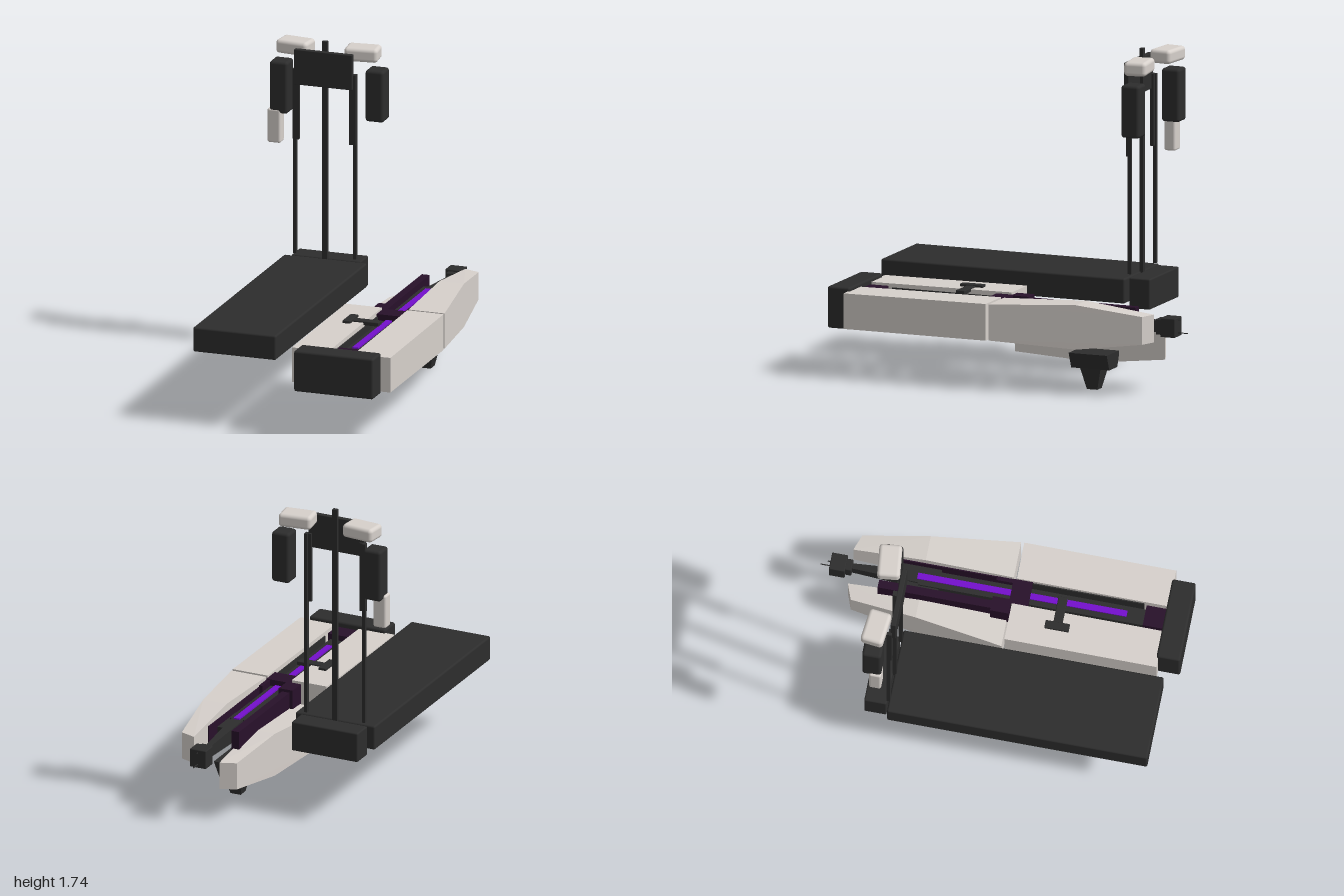
import * as THREE from 'three';
import { RoundedBoxGeometry } from 'three/addons/geometries/RoundedBoxGeometry.js';
import { ConvexGeometry } from 'three/addons/geometries/ConvexGeometry.js';

function material(name, color) {
  const m = new THREE.MeshStandardMaterial({ color });
  m.name = name;
  return m;
}

export function createModel() {
  const root = new THREE.Group();
  const black = material('charcoal', 0x2d2d2d);
  const white = material('warmWhite', 0xd6d0cb);
  const plum = material('darkPlum', 0x28112a);
  const violet = material('violet', 0x7410cc);

  function add(name, geometry, mat) {
    const mesh = new THREE.Mesh(geometry, mat);
    mesh.name = name;
    root.add(mesh);
    return mesh;
  }
  // Box given by its limits on each axis; r rounds the edges
  function box(name, mat, [x0, x1], [y0, y1], [z0, z1], r = 0) {
    const s = [x1 - x0, y1 - y0, z1 - z0];
    const g = r ? new RoundedBoxGeometry(...s, 3, r) : new THREE.BoxGeometry(...s);
    const mesh = add(name, g, mat);
    mesh.position.set((x0 + x1) / 2, (y0 + y1) / 2, (z0 + z1) / 2);
    return mesh;
  }
  // Convex solid from rectangular sections: each is [[xa, ya, za], ...corners]
  function hull(name, mat, points) {
    return add(name, new ConvexGeometry(points.map((p) => new THREE.Vector3(...p))), mat);
  }

  // Bench and the base of the rack behind it
  box('bench', black, [-0.5, -0.032], [0.395, 0.53], [-0.468, 0.937], 0.01);
  box('rackBase', black, [-0.462, -0.072], [0.365, 0.53], [-0.598, -0.478], 0.008);

  // Rack posts, sleeves and panel
  const rackX = -0.269;
  box('centrePost', black, [rackX - 0.014, rackX + 0.014], [0.5, 1.735], [-0.48, -0.458]);
  for (const s of [-1, 1]) {
    const span = (a, b) => (s > 0 ? [rackX + a, rackX + b] : [rackX - b, rackX - a]);
    box('sidePost', black, span(0.161, 0.179), [0.545, 1.568], [-0.48, -0.46]);
    box('postSleeve', black, span(0.142, 0.179), [1.18, 1.568], [-0.472, -0.452]);
    // Shoulder pads angle away from the panel
    const pad = add('shoulderPad', new RoundedBoxGeometry(0.183, 0.075, 0.122, 4, 0.02), white);
    pad.position.set(rackX + s * 0.19, 1.672, -0.534);
    pad.rotation.y = s * 0.11;
  }
  box('rackPanel', black, [-0.432, -0.104], [1.488, 1.682], [-0.461, -0.433], 0.004);

  // Hanging arm pads
  box('armPad', black, [-0.59, -0.488], [1.3, 1.587], [-0.586, -0.483], 0.016);
  box('armPad', black, [-0.05, 0.053], [1.308, 1.592], [-0.586, -0.483], 0.016);
  box('forearmPad', white, [-0.602, -0.527], [1.136, 1.324], [-0.546, -0.481], 0.012);

  // Hull shells: two on each side, the left-hand rear one hangs lower
  function shell(name, side, drop, stations) {
    const cx = 0.318;
    const points = [];
    for (const [zIn, zOut, inner, outer, y0, y1] of stations)
      for (const y of [y0 - drop, y1 - drop])
        points.push([cx + side * inner, y, zIn], [cx + side * outer, y, zOut]);
    hull(name, white, points);
  }
  for (const side of [-1, 1]) {
    shell('frontShell', side, 0, [
      [0.882, 0.882, 0.071, 0.277, 0.268, 0.46],
      [0.062, 0.062, 0.071, 0.277, 0.268, 0.466],
    ]);
    shell('rearShell', side, side < 0 ? 0.12 : 0, [
      [0.045, 0.045, 0.073, 0.276, 0.27, 0.465],
      [-0.43, -0.43, 0.073, 0.211, 0.246, 0.486],
      [-0.822, -0.79, 0.075, 0.162, 0.291, 0.441],
    ]);
  }

  // Front bumper and the block behind it
  box('bumper', black, [0.092, 0.54], [0.255, 0.48], [0.872, 1], 0.012);
  box('frontBlock', plum, [0.263, 0.377], [0.3, 0.45], [0.765, 0.875]);

  // Central spine with its light strip
  box('spine', black, [0.273, 0.363], [0.325, 0.42], [-0.45, 0.77]);
  box('spineCollar', black, [0.254, 0.382], [0.33, 0.405], [-0.56, -0.34]);
  box('lightStrip', violet, [0.302, 0.336], [0.42, 0.428], [-0.46, 0.67]);
  const tail = [];
  for (const [z, w, y0, y1] of [[-0.83, 0.014, 0.335, 0.395], [-0.45, 0.034, 0.33, 0.42]])
    for (const x of [-w, w]) tail.push([0.318 + x, y0, z], [0.318 + x, y1, z]);
  hull('tail', black, tail);

  // Inner rails and crossing blocks
  for (const s of [-1, 1]) {
    const x = 0.319 + s * 0.088;
    box('innerRail', plum, [x - 0.022, x + 0.022], [0.325, 0.44], [-0.655, 0]);
    const e = 0.319 + s * 0.069;
    box('railEdge', black, [e - 0.005, e + 0.005], [0.33, 0.44], [0, 0.75]);
  }
  box('latchBlock', plum, [0.19, 0.272], [0.32, 0.455], [-0.045, 0.055]);
  box('crossBlock', plum, [0.248, 0.388], [0.285, 0.455], [0.045, 0.148]);
  box('rightLatch', plum, [0.366, 0.388], [0.32, 0.45], [-0.045, 0.05]);

  // T-shaped handle
  box('handleBar', black, [0.18, 0.332], [0.45, 0.472], [0.298, 0.348], 0.004);
  box('handleGrip', black, [0.142, 0.186], [0.448, 0.478], [0.257, 0.388], 0.004);

  // Tail head with needles
  box('headNeck', black, [0.286, 0.35], [0.325, 0.41], [-0.85, -0.812], 0.006);
  box('tailHead', black, [0.27, 0.365], [0.317, 0.42], [-0.93, -0.845], 0.005);
  box('lowerNeedle', black, [0.315, 0.32], [0.336, 0.34], [-0.985, -0.92]);
  box('upperNeedle', black, [0.315, 0.32], [0.402, 0.406], [-0.945, -0.92]);

  // Stand: tapered saddle over a narrow foot
  const saddle = [];
  for (const [y, w] of [[0.115, 0.053], [0.2, 0.087]])
    for (const x of [-w, w]) saddle.push([0.319 + x, y, -0.555], [0.319 + x, y, -0.335]);
  hull('standSaddle', black, saddle);
  const foot = [];
  for (const [y, wx, wz] of [[0, 0.03, 0.03], [0.125, 0.056, 0.061]])
    for (const x of [-wx, wx]) foot.push([0.317 + x, y, -0.445 - wz], [0.317 + x, y, -0.445 + wz]);
  hull('standFoot', black, foot);

  return root;
}
